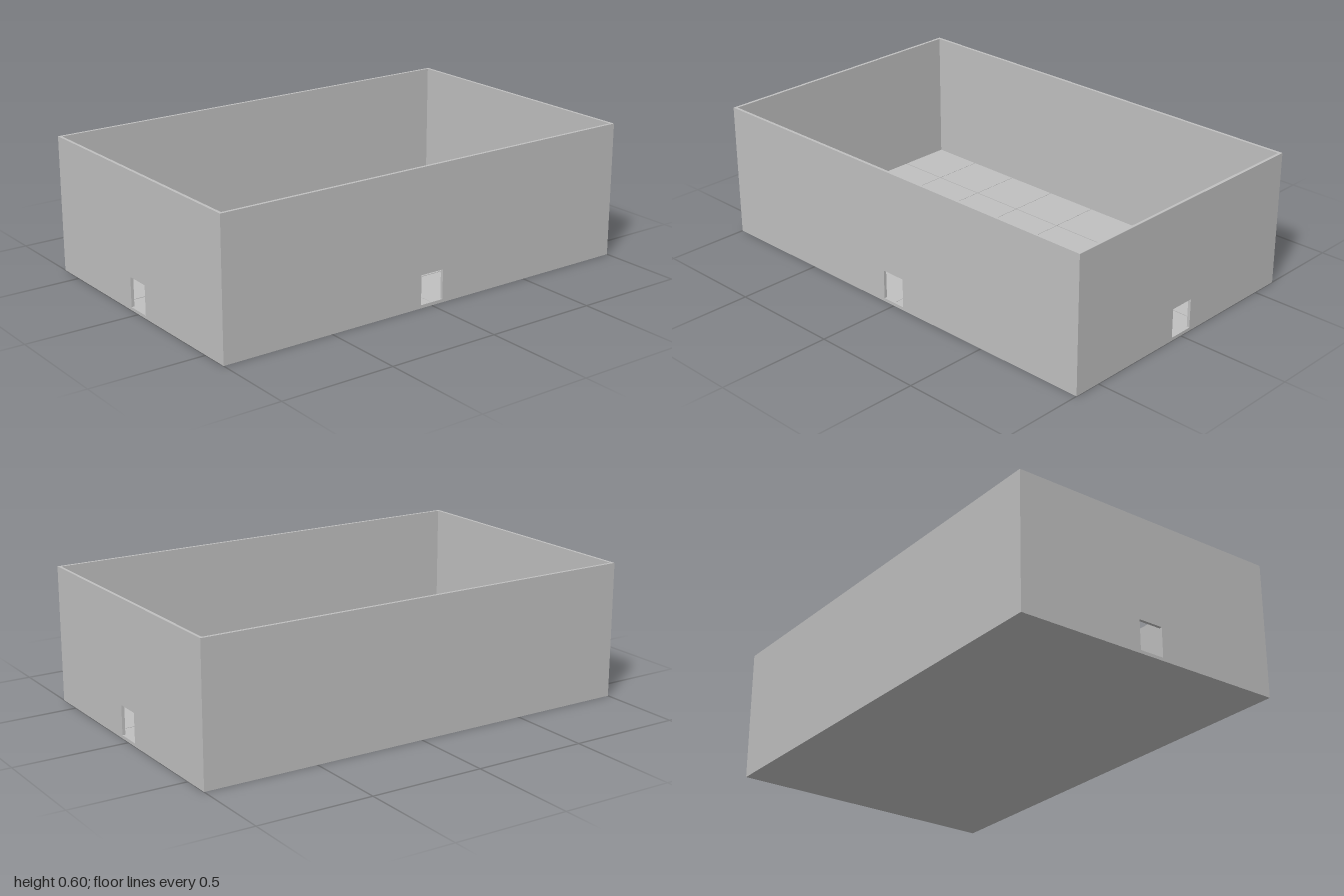
import * as THREE from 'three';

const LENGTH = 2, DEPTH = 1.246, HEIGHT = 0.596, WALL = 0.013;
const DOOR = { half: 0.056, bottom: 0.014, top: 0.143 };

// Upright wall centred on its own origin, optionally pierced by a doorway
function wallGeometry(width, hasDoor) {
  const shape = new THREE.Shape();
  shape.moveTo(-width / 2, 0);
  shape.lineTo(width / 2, 0);
  shape.lineTo(width / 2, HEIGHT);
  shape.lineTo(-width / 2, HEIGHT);
  shape.closePath();
  if (hasDoor) {
    const hole = new THREE.Path();
    hole.moveTo(-DOOR.half, DOOR.bottom);
    hole.lineTo(-DOOR.half, DOOR.top);
    hole.lineTo(DOOR.half, DOOR.top);
    hole.lineTo(DOOR.half, DOOR.bottom);
    hole.closePath();
    shape.holes.push(hole);
  }
  const geometry = new THREE.ExtrudeGeometry(shape, { depth: WALL, bevelEnabled: false });
  return geometry.translate(0, 0, -WALL / 2);
}

export function createModel() {
  const model = new THREE.Group();
  model.name = 'openHall';
  const concrete = new THREE.MeshStandardMaterial({ color: 0xc0c0c0 });
  concrete.name = 'concreteGrey';

  const add = (name, geometry, x, y, z, turn = 0) => {
    const mesh = new THREE.Mesh(geometry, concrete);
    mesh.name = name;
    mesh.position.set(x, y, z);
    mesh.rotation.y = turn;
    model.add(mesh);
  };

  // Walls: doorways in the front and both ends, solid back
  const wallZ = (DEPTH - WALL) / 2, wallX = (LENGTH - WALL) / 2;
  const innerX = LENGTH - 2 * WALL, innerZ = DEPTH - 2 * WALL;
  add('frontWall', wallGeometry(LENGTH, true), 0, 0, wallZ);
  add('backWall', wallGeometry(LENGTH, false), 0, 0, -wallZ);
  add('leftWall', wallGeometry(innerZ, true), wallX, 0, 0, Math.PI / 2);
  add('rightWall', wallGeometry(innerZ, true), -wallX, 0, 0, Math.PI / 2);

  // Base slab between the walls
  const slab = 0.009, tileTop = 0.013;
  add('floorSlab', new THREE.BoxGeometry(innerX, slab, innerZ), 0, slab / 2, 0);

  // Floor panels, eight by five, with fine joints
  const columns = 8, rows = 5, pitchX = LENGTH / columns, pitchZ = DEPTH / rows;
  for (let c = 0; c < columns; c++) {
    for (let r = 0; r < rows; r++) {
      const x0 = Math.max(-innerX / 2, -LENGTH / 2 + c * pitchX + 0.001);
      const x1 = Math.min(innerX / 2, -LENGTH / 2 + (c + 1) * pitchX - 0.001);
      const z0 = Math.max(-innerZ / 2, -DEPTH / 2 + r * pitchZ + 0.002);
      const z1 = Math.min(innerZ / 2, -DEPTH / 2 + (r + 1) * pitchZ - 0.002);
      add('floorPanel', new THREE.BoxGeometry(x1 - x0, tileTop - slab, z1 - z0),
        (x0 + x1) / 2, (slab + tileTop) / 2, (z0 + z1) / 2);
    }
  }
  return model;
}
